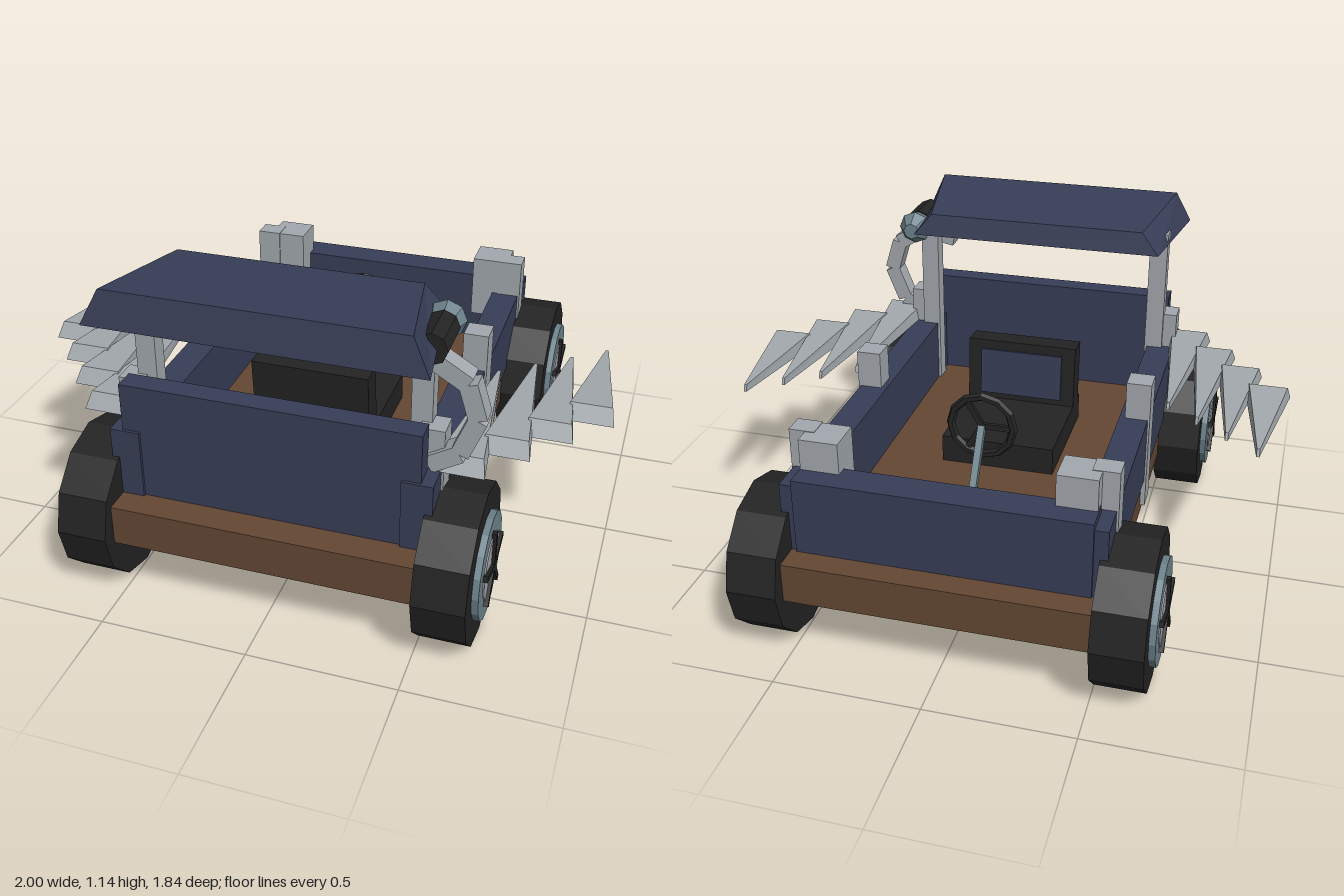
import * as THREE from 'three';

const mat = (name, color, side = THREE.FrontSide) => {
  const m = new THREE.MeshStandardMaterial({ color, side, flatShading: true });
  m.name = name;
  return m;
};

export function createModel() {
  const root = new THREE.Group();
  root.name = 'buggy';
  const wood = mat('brown', 0x634733);
  const navy = mat('navy', 0x373d56);
  const bone = mat('paleGray', 0xa2a8ad);
  const black = mat('black', 0x232323);
  const steel = mat('slate', 0x6d838c);
  const hubGray = mat('hubGray', 0xa6a6ad);

  const add = (name, geo, material, x = 0, y = 0, z = 0, parent = root) => {
    const m = new THREE.Mesh(geo, material);
    m.name = name;
    m.position.set(x, y, z);
    parent.add(m);
    return m;
  };
  // box from its minimum and maximum corners
  const box = (name, material, x0, x1, y0, y1, z0, z1, parent = root) =>
    add(name, new THREE.BoxGeometry(x1 - x0, y1 - y0, z1 - z0), material,
      (x0 + x1) / 2, (y0 + y1) / 2, (z0 + z1) / 2, parent);
  // reshape a unit cube by a rule on its corner signs
  const shaped = (rule) => {
    const g = new THREE.BoxGeometry(2, 2, 2);
    const p = g.attributes.position;
    for (let i = 0; i < p.count; i++) p.setXYZ(i, ...rule(p.getX(i), p.getY(i), p.getZ(i)));
    g.computeVertexNormals();
    return g;
  };

  // chassis and end walls
  box('chassis', wood, -0.52, 0.52, 0.22, 0.36, -0.86, 0.86);
  box('tallWall', navy, -0.49, 0.49, 0.36, 0.765, 0.685, 0.76);
  box('lowWall', navy, -0.485, 0.485, 0.36, 0.625, -0.775, -0.66);

  // mirrored body parts
  for (const s of [-1, 1]) {
    const side = (name, m, x0, x1, ...r) =>
      box(name, m, Math.min(s * x0, s * x1), Math.max(s * x0, s * x1), ...r);
    side('sideWall', navy, 0.43, 0.53, 0.36, 0.6, -0.765, 0.77);
    side('middleBrace', bone, 0.45, 0.537, 0.255, 0.735, -0.043, 0.043);
    side('frontBrace', bone, 0.455, 0.537, 0.4, 0.735, 0.585, 0.67);
    side('rearBrace', bone, 0.45, 0.537, 0.36, 0.735, -0.645, -0.57);
    side('rearCornerBlock', bone, 0.35, 0.482, 0.5, 0.733, -0.7, -0.575);
    side('canopyPost', bone, 0.42, 0.487, 0.36, 1.06, 0.57, 0.63);

    // row of four tapering spikes
    for (let i = 0; i < 4; i++) {
      const cx = s * (0.918 - i * 0.111), tip = -0.2 + i * 0.085, base = 0.237 + i * 0.137;
      add('spike', shaped((x, y, z) => z > 0
        ? [cx + x * (y > 0 ? 0.068 : 0.08), y > 0 ? 0.65 : 0.598, y > 0 ? base : base + 0.033]
        : [cx + x * 0.005, y > 0 ? 0.625 : 0.6, y > 0 ? tip + 0.01 : tip]), bone);
    }
  }

  // sloping canopy
  add('canopy', shaped((x, y, z) => y > 0
    ? [x * (z > 0 ? 0.475 : 0.405), z > 0 ? 1.14 : 1.105, z > 0 ? 0.85 : 0.45]
    : [x * (z > 0 ? 0.532 : 0.47), 1.025, z > 0 ? 0.875 : 0.432]), navy);

  // wheels
  const disc = (r, w, n) => new THREE.CylinderGeometry(r, r, w, n).rotateZ(Math.PI / 2);
  for (const s of [-1, 1]) for (const z of [-0.655, 0.655]) {
    const w = new THREE.Group();
    w.name = 'wheel';
    w.position.set(s * 0.59, 0.265, z);
    root.add(w);
    add('tire', disc(0.263, 0.17, 12), black, 0, 0, 0, w);
    add('rim', disc(0.177, 0.025, 16), steel, s * 0.094, 0, 0, w);
    add('hub', disc(0.112, 0.008, 16), hubGray, s * 0.107, 0, 0, w);
    for (let i = 0; i < 5; i++) {
      const g = new THREE.BoxGeometry(0.016, 0.128, 0.02).translate(s * 0.114, 0.064, 0);
      add('spoke', g, black, 0, 0, 0, w).rotation.x = i * Math.PI * 2 / 5;
    }
  }

  // seat with tilted back
  box('seatCushion', black, -0.205, 0.205, 0.36, 0.46, -0.09, 0.37);
  const back = new THREE.Group();
  back.name = 'seatBack';
  back.position.set(0, 0.42, 0.28);
  back.rotation.x = 0.08;
  root.add(back);
  box('backrest', black, -0.205, 0.205, 0, 0.27, -0.03, 0.06, back);
  box('backPanel', navy, -0.155, 0.155, 0.06, 0.235, -0.038, -0.03, back);

  // steering wheel and column
  const steering = new THREE.Group();
  steering.name = 'steering';
  steering.position.set(0, 0.63, -0.278);
  root.add(steering);
  add('steeringRing', new THREE.TorusGeometry(0.11, 0.015, 6, 12), black, 0, 0, 0, steering);
  for (let i = 0; i < 3; i++) {
    const g = new THREE.BoxGeometry(0.02, 0.11, 0.014).translate(0, 0.055, 0);
    add('steeringSpoke', g, black, 0, 0, 0, steering).rotation.z = Math.PI / 2 + i * Math.PI * 2 / 3;
  }
  const rod = (name, a, b, w, d, m) => {
    const dir = b.clone().sub(a);
    const r = add(name, new THREE.BoxGeometry(w, dir.length(), d), m);
    r.position.copy(a).add(b).multiplyScalar(0.5);
    r.quaternion.setFromUnitVectors(new THREE.Vector3(0, 1, 0), dir.normalize());
  };
  rod('steeringColumn', new THREE.Vector3(0, 0.63, -0.28), new THREE.Vector3(0, 0.35, -0.46), 0.024, 0.024, steel);

  // curved lamp bracket made of short segments
  const arc = [[0.49, 0.62], [0.585, 0.675], [0.635, 0.8], [0.6, 0.915], [0.5, 0.975], [0.37, 0.95]]
    .map(([x, y]) => new THREE.Vector3(x, y, 0.655));
  for (let i = 0; i < arc.length - 1; i++) rod('bracketSegment', arc[i], arc[i + 1], 0.058, 0.065, bone);

  // lamp body and faceted head
  const lamp = (name, r0, r1, len, z, m) =>
    add(name, new THREE.CylinderGeometry(r0, r1, len, 8).rotateX(Math.PI / 2), m, 0.49, 1.027, z);
  lamp('lampBody', 0.052, 0.052, 0.155, 0.63, black);
  lamp('lampHead', 0.045, 0.062, 0.055, 0.532, steel);
  lamp('lampLens', 0.062, 0.03, 0.05, 0.48, steel);
  return root;
}
